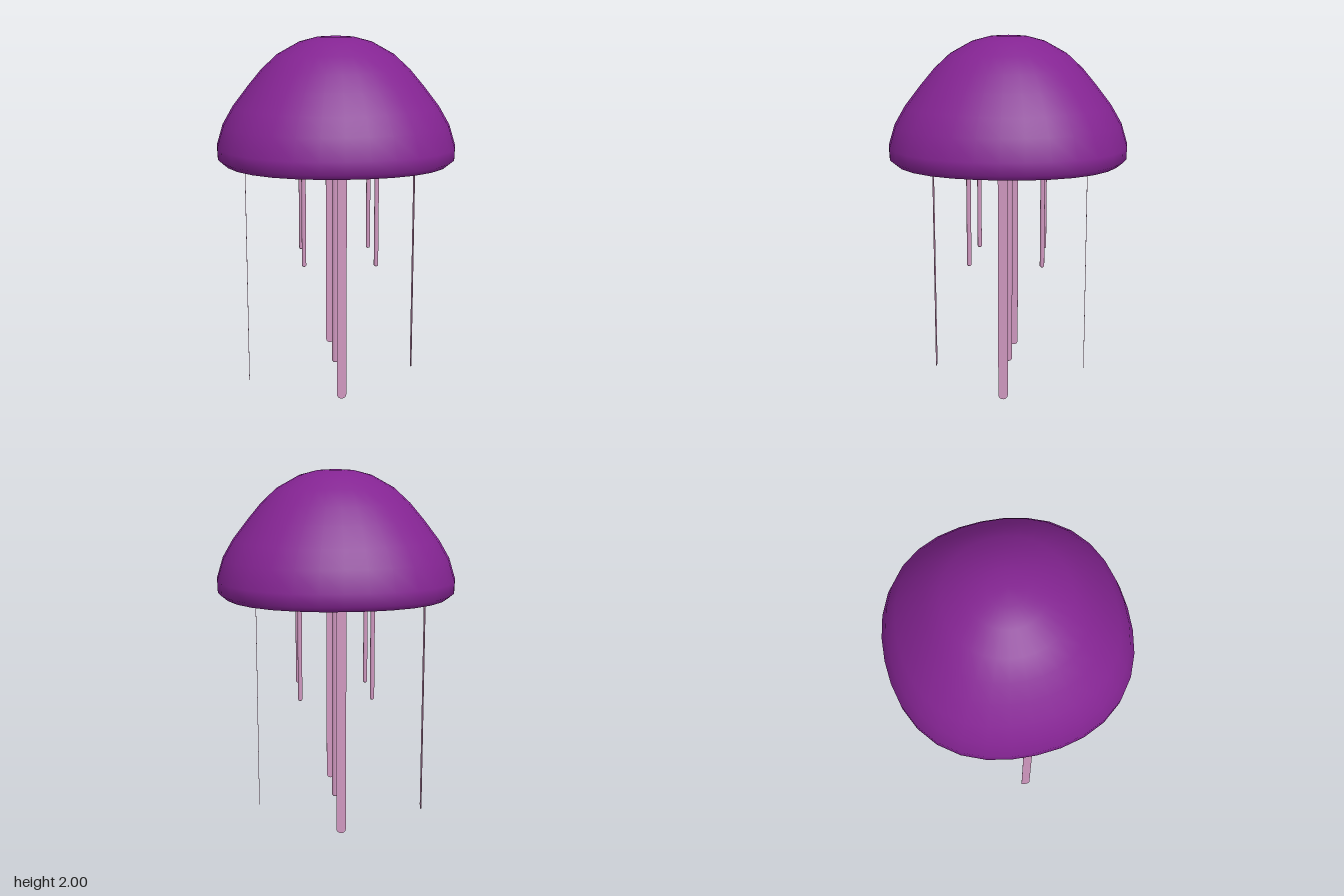
import * as THREE from 'three';
import { mergeVertices } from 'three/addons/utils/BufferGeometryUtils.js';

const bellMaterial = new THREE.MeshStandardMaterial({ color: 0x842492 });
const pinkMaterial = new THREE.MeshStandardMaterial({ color: 0xd098c0 });

// Thick hollow bell: conical inner wall from the apex down, round the lip, then up the outside.
function createBell() {
  const profile = [
    [0, 1.85], [0.08, 1.84], [0.16, 1.795], [0.23, 1.735], [0.3, 1.65], [0.37, 1.56],
    [0.43, 1.48], [0.48, 1.415], [0.52, 1.365], [0.56, 1.33], [0.595, 1.315],
    [0.628, 1.312], [0.661, 1.34], [0.663, 1.405], [0.628, 1.52], [0.57, 1.62], [0.485, 1.73],
    [0.41, 1.82], [0.323, 1.9], [0.2, 1.968], [0.1, 1.994], [0, 2],
  ].map(([r, y]) => new THREE.Vector2(r, y));
  let geometry = new THREE.LatheGeometry(profile, 32);

  // Swell the diagonals so the bell is a rounded square from above, fading to the crown.
  const p = geometry.attributes.position;
  for (let i = 0; i < p.count; i++) {
    const x = p.getX(i), z = p.getZ(i);
    const fade = Math.min(1, (2 - p.getY(i)) / 0.25);
    const swell = 1 + 0.022 * fade * (1 - Math.cos(4 * Math.atan2(z, x)));
    p.setX(i, x * swell);
    p.setZ(i, z * swell);
  }
  geometry.deleteAttribute('uv');
  geometry.deleteAttribute('normal');
  geometry = mergeVertices(geometry, 1e-5);
  geometry.computeVertexNormals();
  const bell = new THREE.Mesh(geometry, bellMaterial);
  bell.name = 'bell';
  return bell;
}

// Paper-thin ribbon with rounded ends, hanging from the inner wall.
function createRibbon(name, x, z, bottom, top, turn) {
  const r = 0.026, depth = 0.002;
  const shape = new THREE.Shape();
  shape.absarc(0, top - bottom - r, r, 0, Math.PI, false);
  shape.absarc(0, r, r, Math.PI, 2 * Math.PI, false);
  const geometry = new THREE.ExtrudeGeometry(shape, { depth, bevelEnabled: false, curveSegments: 6 });
  geometry.translate(0, 0, -depth / 2);
  const ribbon = new THREE.Mesh(geometry, pinkMaterial);
  ribbon.name = name;
  ribbon.position.set(x, bottom, z);
  ribbon.rotation.y = turn;
  return ribbon;
}

// Slim round strand with softened ends.
function createStrand(name, x, z, bottom, top, r) {
  const bevel = r * 0.5;
  const profile = [
    [0, bottom], [r * 0.6, bottom], [r, bottom + bevel],
    [r, top - bevel], [r * 0.6, top], [0, top],
  ].map(([px, py]) => new THREE.Vector2(px, py));
  const strand = new THREE.Mesh(new THREE.LatheGeometry(profile, 10), pinkMaterial);
  strand.name = name;
  strand.position.set(x, 0, z);
  return strand;
}

export function createModel() {
  const jellyfish = new THREE.Group();
  jellyfish.name = 'jellyfish';
  jellyfish.add(createBell());

  // Long outer tentacles
  jellyfish.add(
    createRibbon('rightTentacle', -0.51, 0, 0, 1.42, Math.PI / 2),
    createRibbon('leftTentacle', 0.45, 0, 0.055, 1.5, Math.PI / 2),
    createRibbon('backTentacle', 0, -0.445, 0.055, 1.5, 0),
    createRibbon('frontTentacle', 0, 0.43, 0.055, 1.51, 0),
  );

  // Central tentacle and the four short oral arms
  jellyfish.add(createStrand('centerTentacle', 0, 0, 0.1, 1.87, 0.022));
  for (const [x, z] of [[-0.19, 0.185], [0.21, 0.205], [-0.19, -0.2], [0.21, -0.2]]) {
    jellyfish.add(createStrand('oralArm', x, z, 0.742, 1.72, 0.0125));
  }
  return jellyfish;
}
